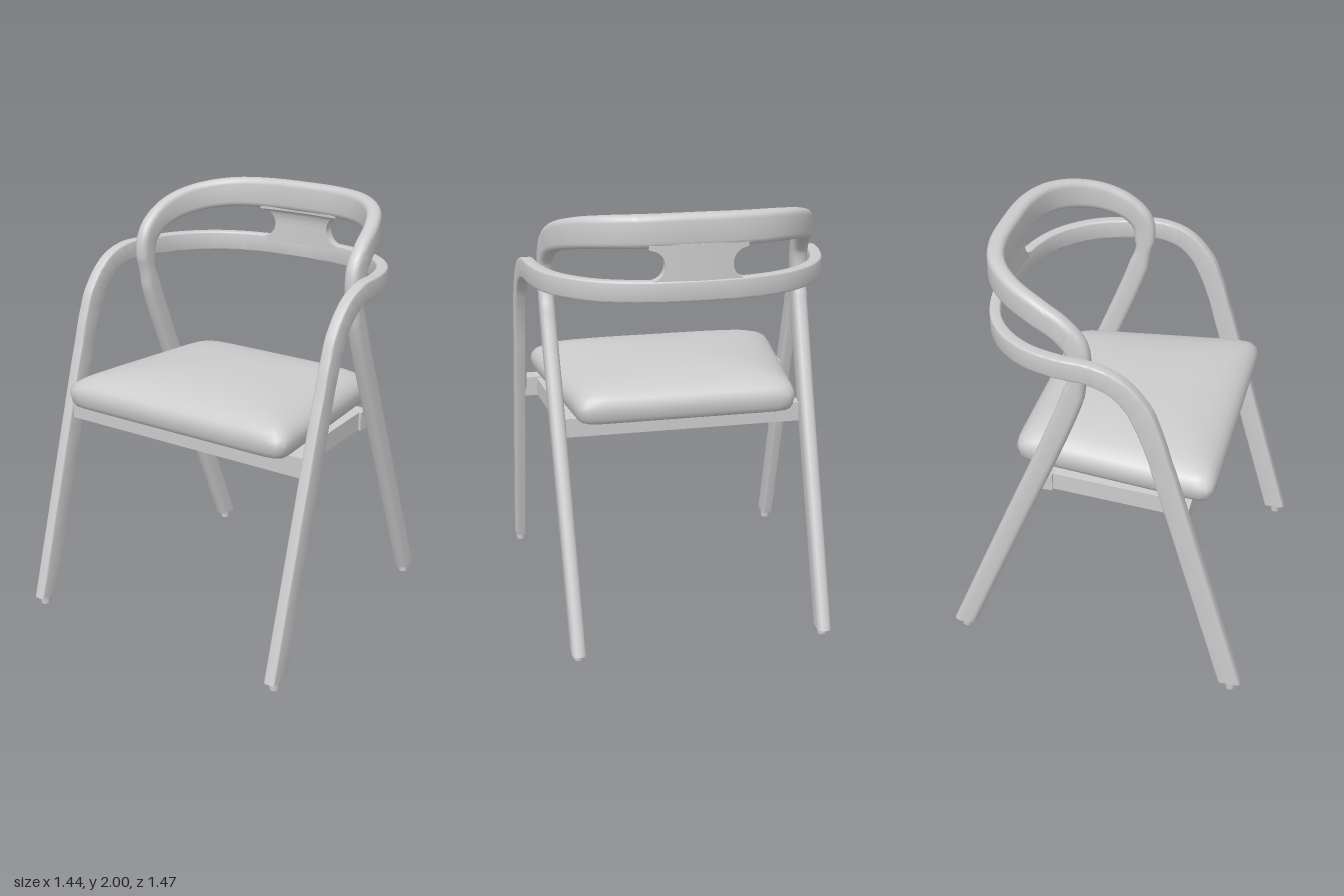
import * as THREE from 'three';
import { toCreasedNormals } from 'three/addons/utils/BufferGeometryUtils.js';

const material = new THREE.MeshStandardMaterial({ color: 0xcccccc });

function addMesh(group, name, geometry) {
  const mesh = new THREE.Mesh(geometry, material);
  mesh.name = name;
  group.add(mesh);
  return mesh;
}

// Skin a list of equal-length rings (counter-clockwise about the travel direction) and cap both ends.
function loft(rings, crease = 0.65) {
  const n = rings[0].length, pos = [], idx = [];
  rings.forEach(r => r.forEach(p => pos.push(p.x, p.y, p.z)));
  for (let i = 0; i < rings.length - 1; i++) {
    for (let j = 0; j < n; j++) {
      const a = i * n + j, b = i * n + (j + 1) % n;
      idx.push(a, b, b + n, a, b + n, a + n);
    }
  }
  for (const end of [0, rings.length - 1]) {
    const c = rings[end].reduce((s, p) => s.add(p), new THREE.Vector3()).divideScalar(n);
    const ci = pos.length / 3;
    pos.push(c.x, c.y, c.z);
    for (let j = 0; j < n; j++) {
      const a = end * n + j, b = end * n + (j + 1) % n;
      if (end) idx.push(ci, a, b); else idx.push(ci, b, a);
    }
  }
  const g = new THREE.BufferGeometry();
  g.setAttribute('position', new THREE.Float32BufferAttribute(pos, 3));
  g.setIndex(idx);
  return toCreasedNormals(g, crease);
}

// Rounded rectangle section as [u, v] pairs.
function roundedSection(w, h, r, seg) {
  const out = [];
  [[1, 1], [-1, 1], [-1, -1], [1, -1]].forEach(([sx, sy], q) => {
    for (let k = 0; k <= seg; k++) {
      const t = (q + k / seg) * Math.PI / 2;
      out.push([sx * (w / 2 - r) + r * Math.cos(t), sy * (h / 2 - r) + r * Math.sin(t)]);
    }
  });
  return out;
}

// Bent bar through one half of its stations [x, y, z, outward angle, thickness, depth], mirrored in x.
function bentBar(half, radius, seg, footY) {
  const mirrored = half.slice(0, -1).reverse().map(([x, y, z, a, w, h]) => [-x, y, z, 180 - a, w, h]);
  const all = [...half, ...mirrored];
  const path = new THREE.CatmullRomCurve3(all.map(p => new THREE.Vector3(p[0], p[1], p[2])));
  const shape = new THREE.CatmullRomCurve3(all.map(p => new THREE.Vector3(p[3] / 100, p[4], p[5])));
  const steps = (all.length - 1) * 7, rings = [];
  for (let i = 0; i <= steps; i++) {
    const t = i / steps, P = path.getPoint(t), T = path.getTangent(t), s = shape.getPoint(t);
    const a = THREE.MathUtils.degToRad(s.x * 100);
    const A = new THREE.Vector3(Math.cos(a), 0, -Math.sin(a));
    A.addScaledVector(T, -A.dot(T)).normalize();
    const B = new THREE.Vector3().crossVectors(T, A);
    rings.push(roundedSection(s.y, s.z, radius, seg).map(([u, v]) => {
      const p = P.clone().addScaledVector(A, u).addScaledVector(B, v);
      // feet are cut level with the floor
      if (i === 0 || i === steps) p.addScaledVector(T, (footY - p.y) / T.y);
      return p;
    }));
  }
  return loft(rings);
}

// Domed cushion: rounded trapezoid rings that soften towards the middle.
function cushionGeometry() {
  const profile = [
    [0.01, 1.012, 20], [0.93, 1.012, 20], [0.965, 1.02, 20], [0.988, 1.042, 20], [1, 1.08, 20],
    [0.992, 1.105, 19], [0.965, 1.13, 17], [0.92, 1.15, 14], [0.85, 1.17, 10], [0.74, 1.188, 7],
    [0.6, 1.203, 5], [0.42, 1.214, 3.5], [0.2, 1.22, 2.5], [0.01, 1.221, 2],
  ];
  const sides = 128;
  return loft(profile.map(([s, y, n]) => Array.from({ length: sides }, (_, j) => {
    const t = (j + 0.5) / sides * Math.PI * 2, c = Math.cos(t), d = -Math.sin(t);
    const r = s / Math.pow(Math.abs(c) ** n + Math.abs(d) ** n, 1 / n);
    const v = r * d;
    return new THREE.Vector3(r * c * (0.5725 + 0.0625 * v), y, 0.0775 + 0.4775 * v);
  })), 0.9);
}

// Back panel: a box pinched by a half-round on each side and bowed to follow the rails.
function backPanelGeometry() {
  const y0 = 1.69, y1 = 1.875, R = 0.07, mid = 1.78;
  const g = new THREE.BoxGeometry(2, y1 - y0, 2, 16, 24, 1);
  const p = g.attributes.position;
  for (let i = 0; i < p.count; i++) {
    const y = p.getY(i) + (y0 + y1) / 2;
    const d = Math.min(R, Math.abs(y - mid));
    const flare = R - Math.sqrt(R * R - d * d);
    const x = p.getX(i) * (0.15 + flare);
    const front = p.getZ(i) > 0;
    const z = front ? -0.53 + (y > mid ? 0.35 * flare : 0) : -0.577;
    p.setXYZ(i, x, y, z + 0.3 * x * x);
  }
  return toCreasedNormals(g, 0.65);
}

export function createModel() {
  const chair = new THREE.Group();
  chair.name = 'chair';

  // Front legs, arms and lower back rail in one bent bar
  addMesh(chair, 'frontLegsAndArmRail', bentBar([
    [0.692, 0.04, 0.685, 0, 0.055, 0.1],
    [0.692, 0.7, 0.495, 0, 0.055, 0.098],
    [0.692, 1.2, 0.35, 0, 0.055, 0.097],
    [0.692, 1.4, 0.288, 0, 0.055, 0.097],
    [0.69, 1.53, 0.228, 0, 0.055, 0.097],
    [0.687, 1.625, 0.135, 0, 0.055, 0.096],
    [0.679, 1.666, 0.02, 2, 0.055, 0.095],
    [0.66, 1.667, -0.13, 10, 0.055, 0.095],
    [0.61, 1.667, -0.28, 25, 0.055, 0.095],
    [0.52, 1.667, -0.4, 43, 0.053, 0.095],
    [0.4, 1.667, -0.485, 62, 0.05, 0.095],
    [0.22, 1.667, -0.54, 79, 0.05, 0.095],
    [0, 1.667, -0.555, 90, 0.05, 0.095],
  ], 0.009, 3, 0.04));

  // Rear legs looping forward and over into the top back rail
  addMesh(chair, 'rearLegsAndTopRail', bentBar([
    [0.58, 0.035, -0.675, 0, 0.066, 0.103],
    [0.59, 0.7, -0.4, 0, 0.068, 0.103],
    [0.6, 1.3, -0.15, 0, 0.07, 0.103],
    [0.603, 1.5, -0.077, 0, 0.07, 0.1],
    [0.605, 1.63, -0.049, 0, 0.07, 0.1],
    [0.603, 1.735, -0.063, 0, 0.07, 0.11],
    [0.595, 1.808, -0.13, 6, 0.07, 0.118],
    [0.57, 1.862, -0.24, 20, 0.07, 0.13],
    [0.5, 1.9, -0.37, 43, 0.072, 0.138],
    [0.38, 1.92, -0.472, 64, 0.076, 0.143],
    [0.22, 1.926, -0.524, 80, 0.08, 0.146],
    [0, 1.928, -0.535, 90, 0.083, 0.146],
  ], 0.028, 4, 0.035));

  addMesh(chair, 'backPanel', backPanelGeometry());
  addMesh(chair, 'seatCushion', cushionGeometry());

  // Seat frame
  addMesh(chair, 'frontSeatRail', new THREE.BoxGeometry(1.34, 0.095, 0.085)).position.set(0, 0.97, 0.415);
  addMesh(chair, 'rearSeatRail', new THREE.BoxGeometry(1.14, 0.09, 0.07)).position.set(0, 0.968, -0.235);
  for (const s of [1, -1]) {
    const rail = addMesh(chair, s > 0 ? 'leftSeatRail' : 'rightSeatRail', new THREE.BoxGeometry(0.06, 0.086, 0.64));
    rail.position.set(s * 0.555, 0.969, 0.09);
    rail.rotation.y = s * 0.09;

    // Glides under the feet
    for (const [name, x, z] of [['frontGlide', 0.692, 0.69], ['rearGlide', 0.58, -0.672]]) {
      addMesh(chair, name, new THREE.CylinderGeometry(0.025, 0.022, 0.05, 20)).position.set(s * x, 0.025, z);
    }
  }
  return chair;
}
